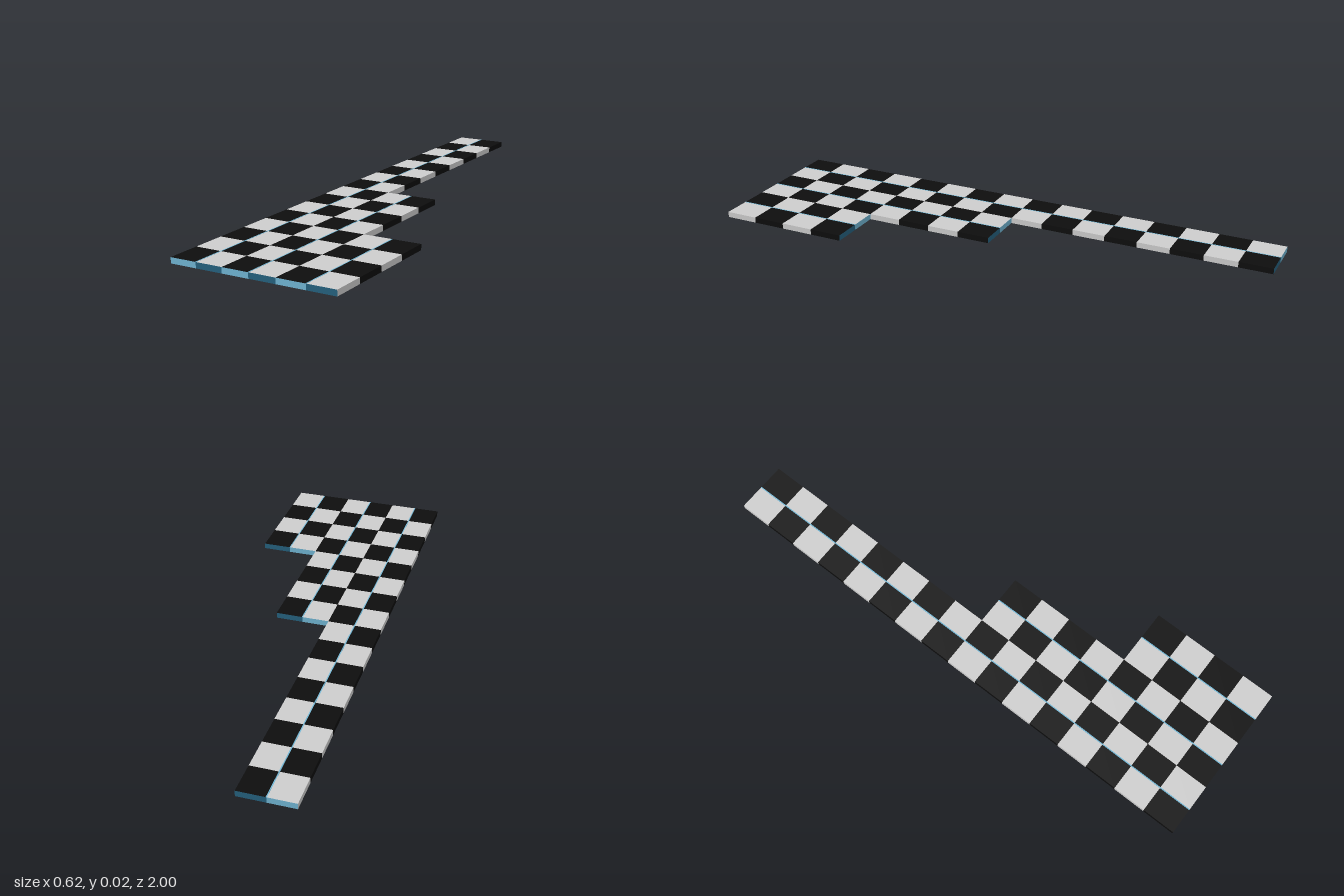
import * as THREE from 'three';

const flat = (name, color) => {
  const m = new THREE.MeshStandardMaterial({ color });
  m.name = name;
  return m;
};

export function createModel() {
  const model = new THREE.Group();
  const grey = flat('light grey', 0xcdcdcd);
  const black = flat('black', 0x0d0d0d);
  const lightBlue = flat('light blue', 0x70b5d3);
  const darkBlue = flat('dark blue', 0x25617e);

  const height = 0.021, rows = 16, depth = 2 / rows;
  const edges = [-0.308, -0.209, -0.109, -0.009, 0.091, 0.2, 0.308];
  // Each strip is two tiles wide and starts at a different row
  const strips = [
    { name: 'longStrip', firstRow: 0 },
    { name: 'middleStrip', firstRow: 8 },
    { name: 'shortStrip', firstRow: 12 },
  ];

  strips.forEach(({ name, firstRow }, s) => {
    const strip = new THREE.Group();
    strip.name = name;
    for (let col = 2 * s; col < 2 * s + 2; col++) {
      const width = edges[col + 1] - edges[col];
      const endBlue = col % 2 ? darkBlue : lightBlue;
      for (let row = firstRow; row < rows; row++) {
        // Checkered tile, with blue faces at the front and back ends
        const tint = (col + row) % 2 ? black : grey;
        const front = row === rows - 1 ? endBlue : tint;
        const back = row === firstRow ? endBlue : tint;
        const tile = new THREE.Mesh(
          new THREE.BoxGeometry(width, height, depth),
          [tint, tint, tint, tint, front, back]
        );
        tile.name = 'tile';
        tile.position.set(edges[col] + width / 2, height / 2, -1 + (row + 0.5) * depth);
        strip.add(tile);
      }
    }
    // Hairline seam down the middle of the strip
    const length = (rows - firstRow) * depth;
    const seam = new THREE.Mesh(new THREE.BoxGeometry(0.004, 0.0006, length), lightBlue);
    seam.name = 'seam';
    seam.position.set(edges[2 * s + 1], height + 0.0002, 1 - length / 2);
    strip.add(seam);
    model.add(strip);
  });

  return model;
}
